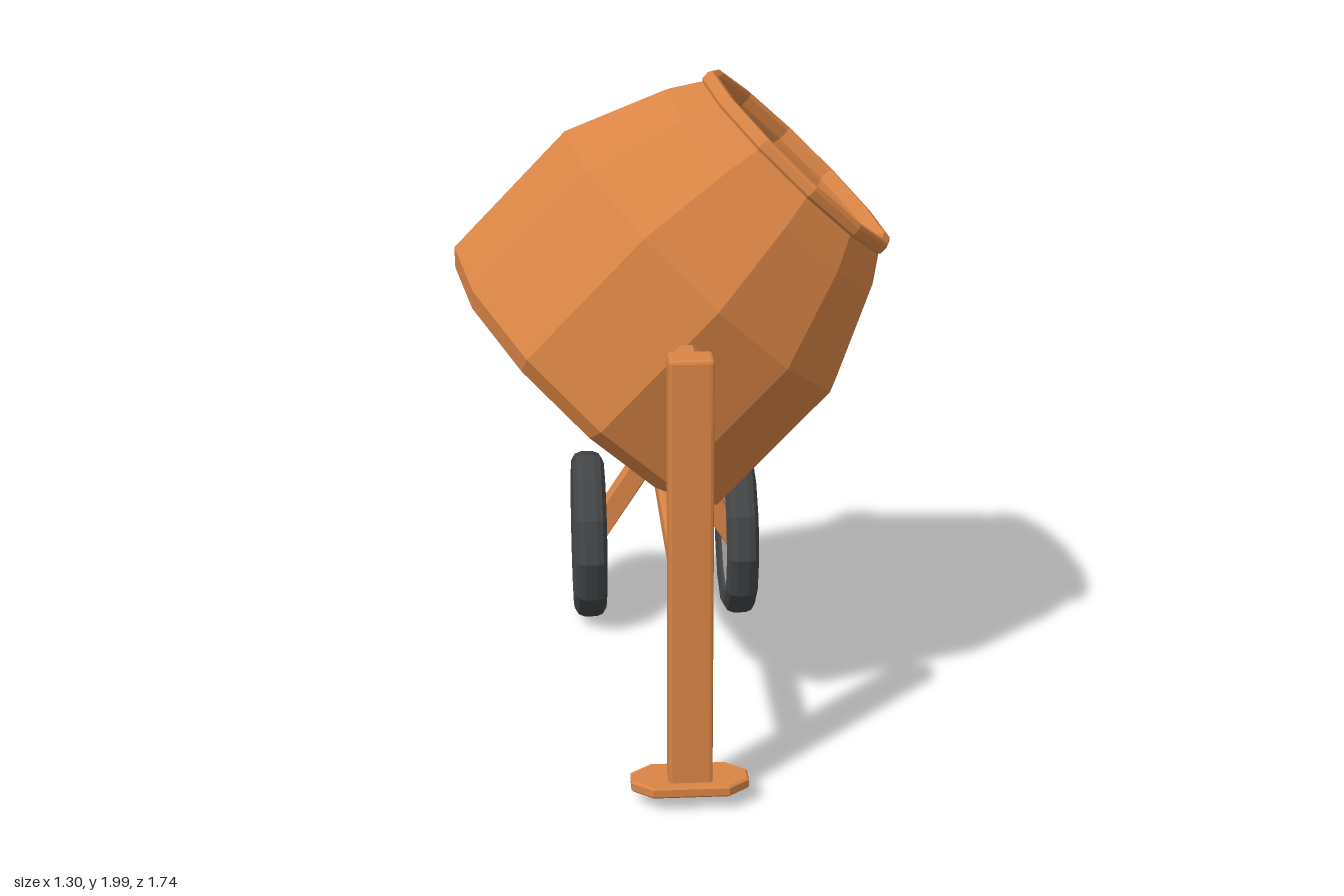
import * as THREE from 'three';
import { RoundedBoxGeometry } from 'three/addons/geometries/RoundedBoxGeometry.js';

export function createModel() {
  const model = new THREE.Group();
  model.name = 'cementMixer';

  const paint = (name, color) => {
    const m = new THREE.MeshStandardMaterial({ color, flatShading: true });
    m.name = name;
    return m;
  };
  const orange = paint('orange paint', 0xd98445);
  const rubber = paint('dark rubber', 0x424446);
  const steel = paint('grey steel', 0xb0b0b0);

  const add = (parent, name, geometry, material, x = 0, y = 0, z = 0) => {
    const mesh = new THREE.Mesh(geometry, material);
    mesh.name = name;
    mesh.position.set(x, y, z);
    parent.add(mesh);
    return mesh;
  };
  const lathe = (pts) => new THREE.LatheGeometry(pts.map(([r, y]) => new THREE.Vector2(r, y)), 12);
  const extrude = (pts, depth, bevel) => new THREE.ExtrudeGeometry(
    new THREE.Shape(pts.map(([x, y]) => new THREE.Vector2(x, y))), {
      depth: depth - 2 * bevel, bevelEnabled: true, bevelSegments: 1,
      bevelThickness: bevel, bevelSize: bevel, bevelOffset: -bevel,
    }).translate(0, 0, bevel);

  // Tilted hollow drum: outer wall going up, inner wall coming back down
  const drum = new THREE.Group();
  drum.name = 'drum';
  drum.position.set(-0.2425, 1.09, 0.085);
  drum.rotation.z = -0.763;
  model.add(drum);
  add(drum, 'drumShell', lathe([
    [0, -0.044], [0.52, -0.044], [0.564, 0], [0.564, 0.479], [0.435, 0.765], [0.362, 0.87],
    [0.342, 0.87], [0.415, 0.757], [0.544, 0.472], [0.544, 0.005], [0.5, -0.024], [0, -0.024],
  ]), orange);
  add(drum, 'drumRim', lathe([
    [0.345, 0.85], [0.368, 0.858], [0.378, 0.868], [0.378, 0.892], [0.37, 0.902],
    [0.348, 0.902], [0.34, 0.892], [0.34, 0.86], [0.345, 0.85],
  ]), orange);

  // Pivot stubs joining the drum to both posts
  for (const [name, z0, z1] of [['frontPivot', 0.57, 0.76], ['rearPivot', -0.56, -0.4]]) {
    const stub = new THREE.CylinderGeometry(0.042, 0.042, Math.abs(z1 - z0), 8);
    stub.rotateY(Math.PI / 8).rotateX(Math.PI / 2);
    add(model, name, stub, orange, 0, 1.305, (z0 + z1) / 2);
  }

  // Front post, foot and lower crossbar
  add(model, 'frontPost', new RoundedBoxGeometry(0.127, 1.295, 0.095, 1, 0.01), orange, 0, 0.7125, 0.7925);
  const foot = extrude([
    [-0.17, -0.03], [-0.11, -0.08], [0.11, -0.08], [0.17, -0.03],
    [0.17, 0.03], [0.11, 0.08], [-0.11, 0.08], [-0.17, 0.03],
  ], 0.034, 0.006).rotateX(-Math.PI / 2);
  add(model, 'foot', foot, orange, 0, 0.048, 0.79);
  add(model, 'crossbar', new RoundedBoxGeometry(0.078, 0.068, 1.31, 1, 0.01), orange, 0, 0.607, 0.1);

  // Rear post splitting into two fork legs
  const half = [[0.047, 1.36], [0.047, 0.638], [0.217, 0.375], [0.217, 0.24]];
  const fork = [...half, [0, 0.575], ...half.map(([x, y]) => [-x, y]).reverse()];
  add(model, 'rearFork', extrude(fork, 0.06, 0.007), orange, 0.008, 0, -0.605);

  // Wheels, built lying flat with +y as the outer side
  for (const side of [1, -1]) {
    const wheel = new THREE.Group();
    wheel.name = side > 0 ? 'leftWheel' : 'rightWheel';
    wheel.position.set(0.009 + side * 0.249, 0.283, -0.587);
    wheel.rotation.z = -side * Math.PI / 2;
    model.add(wheel);
    add(wheel, 'tyre', lathe([
      [0.195, -0.03], [0.21, -0.044], [0.25, -0.053], [0.272, -0.04], [0.28, -0.02],
      [0.28, 0.02], [0.272, 0.04], [0.25, 0.053], [0.21, 0.044], [0.195, 0.03], [0.195, -0.005],
    ]), rubber);
    add(wheel, 'wheelDisc', new THREE.CylinderGeometry(0.2, 0.2, 0.035, 12), steel, 0, -0.0175, 0);
    add(wheel, 'hub', new THREE.CylinderGeometry(0.055, 0.055, 0.045, 12), rubber, 0, 0.0125, 0);
    // Thin tapered spokes standing on the disc
    for (let i = 0; i < 12; i++) {
      const fin = new THREE.Shape([[0.04, -0.004], [0.198, -0.004], [0.198, 0.008], [0.04, 0.03]]
        .map(([x, y]) => new THREE.Vector2(x, y)));
      const geometry = new THREE.ExtrudeGeometry(fin, { depth: 0.004, bevelEnabled: false });
      geometry.translate(0, 0, -0.002).rotateY((i * Math.PI) / 6);
      add(wheel, 'spoke', geometry, steel);
    }
  }
  return model;
}
